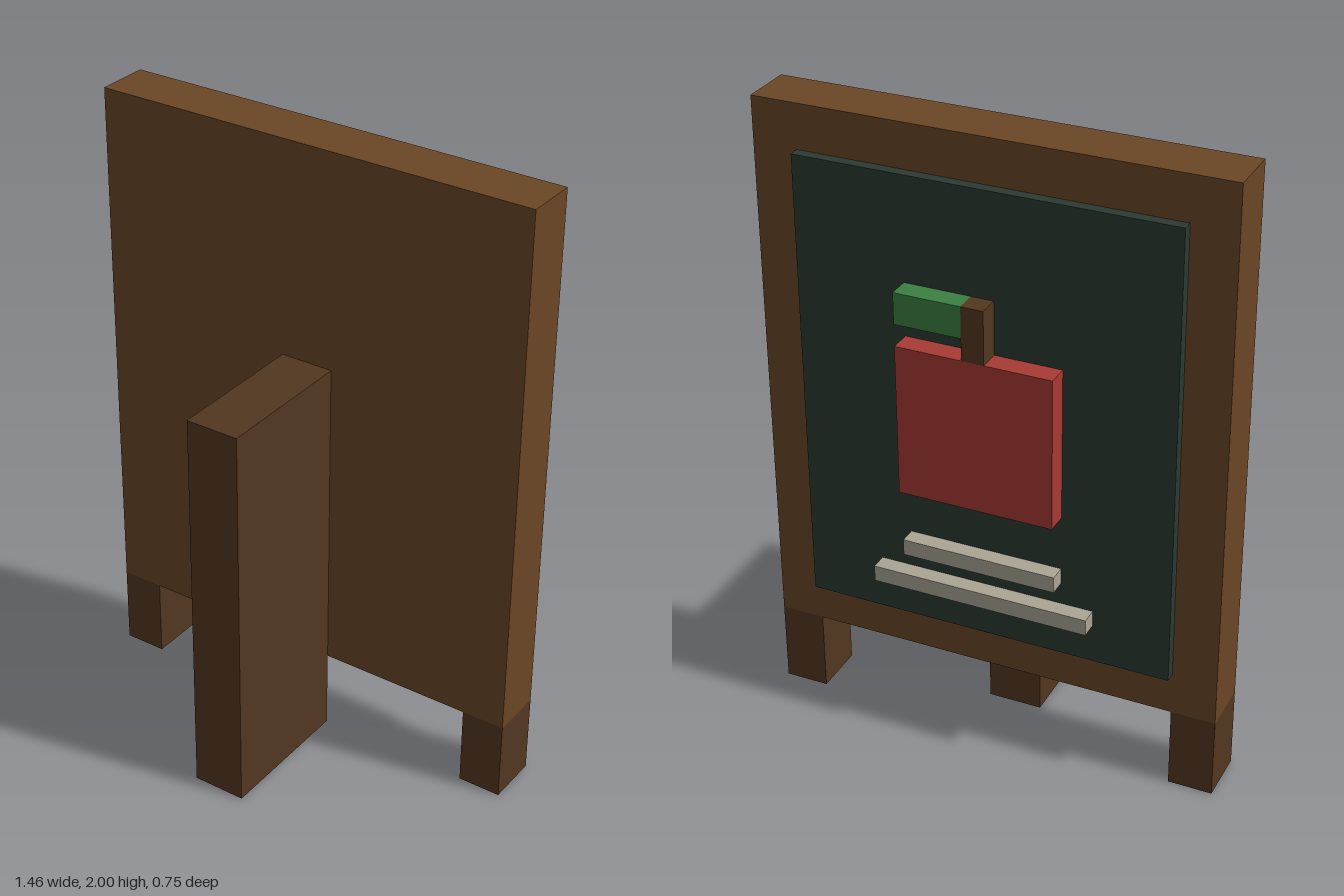
import * as THREE from 'three';

const material = (color) => new THREE.MeshStandardMaterial({ color });

export function createModel() {
  const model = new THREE.Group();
  const wood = material(0x6b4626);
  const darkWood = material(0x523720);
  const slate = material(0x2b3a33);
  const red = material(0xa83a34);
  const green = material(0x3b8042);
  const chalk = material(0xaba595);

  // Box given by its extents on each axis
  function block(name, mat, [x0, x1], [y0, y1], [z0, z1]) {
    const mesh = new THREE.Mesh(new THREE.BoxGeometry(x1 - x0, y1 - y0, z1 - z0), mat);
    mesh.position.set((x0 + x1) / 2, (y0 + y1) / 2, (z0 + z1) / 2);
    mesh.name = name;
    model.add(mesh);
  }

  // Wooden board on two short legs, with a deep prop on the +z side
  const boardZ = [-0.27, -0.098];
  block('board', wood, [-0.73, 0.73], [0.263, 2], boardZ);
  block('leftLeg', darkWood, [0.59, 0.73], [0, 0.263], boardZ);
  block('rightLeg', darkWood, [-0.73, -0.59], [0, 0.263], boardZ);
  block('prop', darkWood, [-0.087, 0.087], [0, 1.305], [-0.098, 0.373]);

  // Writing surface on the -z side
  block('slate', slate, [-0.59, 0.59], [0.4, 1.86], [-0.304, -0.27]);

  // Raised apple sign
  const signZ = [-0.373, -0.304];
  block('apple', red, [-0.245, 0.245], [0.875, 1.36], signZ);
  block('stem', darkWood, [-0.035, 0.035], [1.36, 1.53], signZ);
  block('leaf', green, [0.035, 0.245], [1.43, 1.53], signZ);

  // Chalk lines
  const chalkZ = [-0.357, -0.304];
  block('upperChalkLine', chalk, [-0.245, 0.245], [0.647, 0.699], chalkZ);
  block('lowerChalkLine', chalk, [-0.347, 0.347], [0.525, 0.577], chalkZ);

  return model;
}
